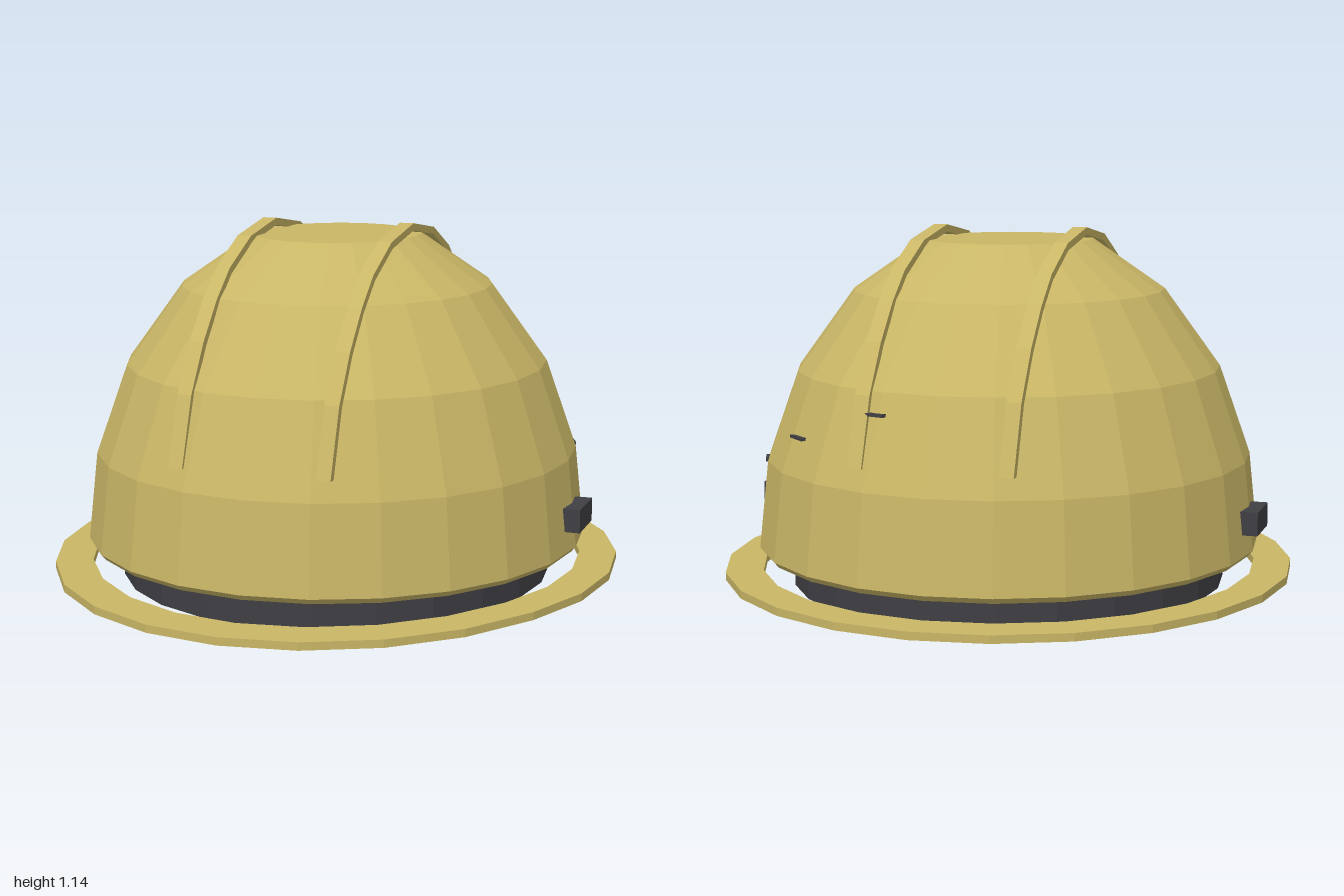
import * as THREE from 'three';

const SIDES = 24;      // facets around the helmet
const OVAL = 1.055;    // front-to-back stretch
const CENTRE_Z = -0.03;

export function createModel() {
  const model = new THREE.Group();
  model.name = 'hardHat';
  const shellYellow = new THREE.MeshStandardMaterial({ color: 0xc9b666, flatShading: true });
  shellYellow.name = 'shellYellow';
  const darkGrey = new THREE.MeshStandardMaterial({ color: 0x3f3f44, flatShading: true });
  darkGrey.name = 'darkGrey';

  const add = (name, geometry, material, x = 0, y = 0, z = 0) => {
    const mesh = new THREE.Mesh(geometry, material);
    mesh.name = name;
    mesh.position.set(x, y, z + CENTRE_Z);
    model.add(mesh);
    return mesh;
  };

  // Oval lathe, profile listed counter-clockwise as [radius, height]
  const ovalLathe = (profile) => new THREE.LatheGeometry(
    profile.map(([r, y]) => new THREE.Vector2(r, y)), SIDES).scale(1, 1, OVAL);

  // Dome: faceted outer shell with a flat crown, lip and inner shell
  const outer = [[0.795, 0.112], [0.81, 0.13], [0.78, 0.41], [0.68, 0.695], [0.5, 0.945], [0.27, 1.105]];
  const inner = [[0.255, 1.085], [0.485, 0.93], [0.66, 0.685], [0.76, 0.405], [0.785, 0.112]];
  add('dome', ovalLathe([[0.785, 0.112], ...outer, [0, 1.105]]), shellYellow);
  add('domeLining', ovalLathe([[0, 1.085], ...inner]), shellYellow);

  // Brim: flat ring, drawn out a little at the front
  const brim = ovalLathe([[0.8, 0.03], [0.92, 0.03], [0.92, 0.055], [0.8, 0.055], [0.8, 0.03]]);
  const p = brim.attributes.position;
  for (let i = 0; i < p.count; i++) {
    const z = p.getZ(i);
    p.setZ(i, z + Math.max(0, z / 0.97 - 0.5) * 0.11);
  }
  add('brim', brim, shellYellow);

  // Headband hanging below the dome
  add('headband', ovalLathe([[0.685, 0], [0.7, 0], [0.7, 0.097], [0.685, 0.097], [0.685, 0]]), darkGrey);

  // Two ribs running front to back over the crown
  const half = [[0.775, 0.475], [0.7, 0.685], [0.605, 0.83], [0.5, 0.945], [0.395, 1.03], [0.22, 1.11]];
  const arc = [...half, [0, 1.145], ...half.map(([z, y]) => [-z, y]).reverse()];
  const under = arc.map(([z, y]) => [z * 0.965, 0.475 + (y - 0.475) * 0.965]).reverse();
  const ribShape = new THREE.Shape([...arc, ...under].map(([z, y]) => new THREE.Vector2(z, y)));
  for (const side of [-1, 1]) {
    const rib = new THREE.ExtrudeGeometry(ribShape, { depth: 0.046, bevelEnabled: false });
    rib.translate(0, 0, -0.023).rotateY(-Math.PI / 2);
    add(side > 0 ? 'leftRib' : 'rightRib', rib, shellYellow, side * 0.235);
    // Accessory clip on each side
    add(side > 0 ? 'leftClip' : 'rightClip', new THREE.BoxGeometry(0.06, 0.075, 0.17),
      darkGrey, side * 0.81, 0.235, -0.002);
  }

  // Small vent slits climbing round the rear left of the dome
  for (const [degrees, y, radius] of [[23, 0.402, 0.772], [48, 0.523, 0.737], [74, 0.63, 0.703]]) {
    const a = THREE.MathUtils.degToRad(degrees);
    const slit = add('ventSlit', new THREE.BoxGeometry(0.025, 0.009, 0.08), darkGrey,
      Math.cos(a) * radius, y, -Math.sin(a) * radius * OVAL);
    slit.rotation.y = a;
  }
  return model;
}
